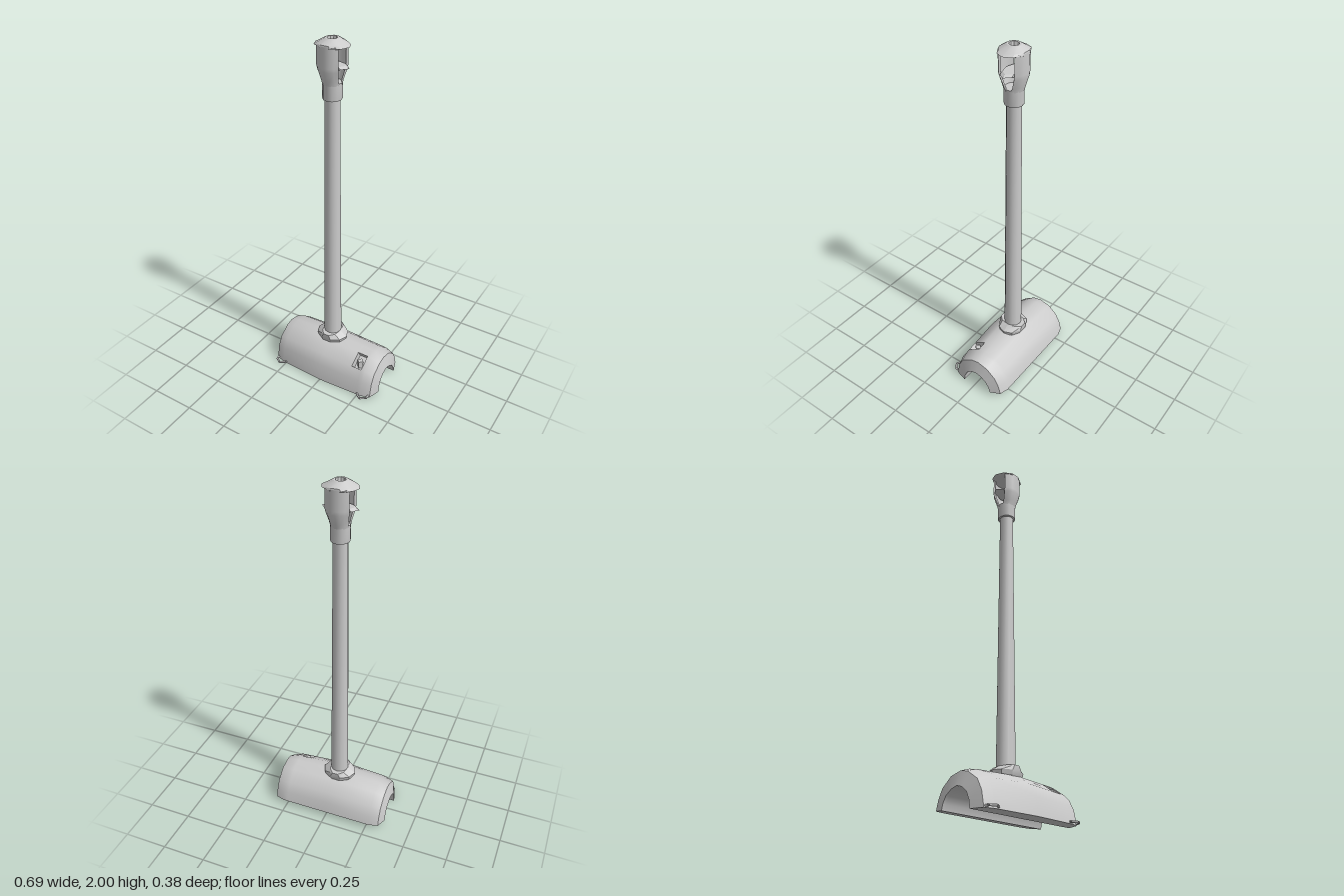
import * as THREE from 'three';
import { toCreasedNormals } from 'three/addons/utils/BufferGeometryUtils.js';

const material = new THREE.MeshStandardMaterial({ color: 0xcccccc, side: THREE.DoubleSide });
const V = (x, y, z) => new THREE.Vector3(x, y, z);

// Geometry from a list of triangles, dropping collapsed ones
function fromTriangles(tris, crease) {
  const pos = [];
  for (const [a, b, c] of tris) {
    const area = b.clone().sub(a).cross(c.clone().sub(a)).length();
    if (area > 1e-9) for (const p of [a, b, c]) pos.push(p.x, p.y, p.z);
  }
  const g = new THREE.BufferGeometry();
  g.setAttribute('position', new THREE.Float32BufferAttribute(pos, 3));
  return toCreasedNormals(g, crease);
}

// Skin closed cross-sections; skip(i, j, corners, addQuad) may replace a cell
function skin(rows, crease = 0.6, skip = null) {
  const tris = [];
  const quad = (a, b, c, d) => tris.push([a, b, c], [a, c, d]);
  for (let i = 0; i < rows.length - 1; i++) {
    const n = rows[i].length;
    for (let j = 0; j < n; j++) {
      const k = (j + 1) % n;
      const cell = [rows[i][j], rows[i][k], rows[i + 1][k], rows[i + 1][j]];
      if (!skip || !skip(i, j, cell, quad)) quad(...cell);
    }
  }
  return fromTriangles(tris, crease);
}

// Stacked ellipses from [y, radiusX, radiusZ], bottom to top
function stack(levels, sides, crease) {
  return skin(levels.map(([y, rx, rz]) => Array.from({ length: sides }, (_, j) => {
    const a = (j / sides) * Math.PI * 2;
    return V(rx * Math.cos(a), y, -rz * Math.sin(a));
  })), crease);
}

function add(parent, name, geometry) {
  const mesh = new THREE.Mesh(geometry, material);
  mesh.name = name;
  parent.add(mesh);
  return mesh;
}

// Arched saddle: outer and inner arch as [z, y], front to back
function saddleGeometry() {
  const outer = [[0.158, 0], [0.14, 0.09], [0.108, 0.148], [0.035, 0.196], [-0.015, 0.205],
    [-0.085, 0.188], [-0.148, 0.135], [-0.175, 0.08], [-0.19, 0.025]];
  const inner = [[0.074, 0], [0.068, 0.04], [0.05, 0.08], [0.02, 0.105], [-0.015, 0.115],
    [-0.05, 0.105], [-0.085, 0.08], [-0.105, 0.045], [-0.112, 0.015]];
  const stations = [[0.343, 0], [0.322, 0.8], [0.27, 1], [0.245, 1], [0.185, 1], [0, 1],
    [-0.27, 1], [-0.322, 0.8], [-0.343, 0]];
  const rows = stations.map(([x, t]) => {
    const bulge = Math.max(0, 1 - Math.abs(x) / 0.27);
    const out = outer.map(([z, y], i) => {
      const [iz, iy] = inner[i];
      const front = z > 0 ? 0.013 * bulge : 0;
      return V(x, iy + (y - iy) * t + (i % 8 ? 0.01 * bulge : 0), iz + (z - iz) * t + front);
    });
    return [...out, ...inner.map(([z, y]) => V(x, y, z)).reverse()];
  });
  // Small pit sunk into the front shoulder
  return skin(rows, 0.6, (i, j, cell, quad) => {
    if (i !== 3 || j !== 2) return false;
    const floor = cell.map((p) => p.clone().add(V(0, -0.04, -0.024)));
    cell.forEach((p, k) => quad(p, cell[(k + 1) % 4], floor[(k + 1) % 4], floor[k]));
    quad(...floor);
    return true;
  });
}

// Curved wall between the two side openings: [y, radiusX, radiusZ, half opening]
function wallGeometry() {
  const levels = [[1.775, 0.049, 0.051, 0.014], [1.8, 0.054, 0.058, 0.024],
    [1.85, 0.072, 0.073, 0.041], [1.87, 0.078, 0.074, 0.045], [1.972, 0.078, 0.074, 0.045]];
  const steps = 6;
  return skin(levels.map(([y, rx, rz, w]) => {
    const a0 = Math.asin(w / rz);
    const arc = (s) => Array.from({ length: steps + 1 }, (_, j) => {
      const a = a0 + (j / steps) * (Math.PI - 2 * a0);
      return V(rx * s * Math.cos(a), y, -rz * s * Math.sin(a));
    });
    return [...arc(1), ...arc(0.85).reverse()];
  }));
}

export function createModel() {
  const model = new THREE.Group();
  model.name = 'postOnSaddle';

  add(model, 'saddleBase', saddleGeometry());

  // Square pin standing in the pit
  const pin = add(model, 'pin', new THREE.CylinderGeometry(0.019, 0.019, 0.045, 4));
  pin.geometry = toCreasedNormals(pin.geometry, 0.5);
  pin.position.set(0.215, 0.15, 0.066);

  // Wire loops at the foot of the front
  const path = [[-0.032, 0.135], [-0.031, 0.163], [0, 0.184], [0.031, 0.163], [0.032, 0.135]];
  for (const [side, name] of [[1, 'leftLoop'], [-1, 'rightLoop']]) {
    const loop = new THREE.Group();
    loop.name = name;
    loop.position.set(0.281 * side, 0.009, 0);
    for (let i = 0; i < path.length - 1; i++) {
      const a = V(path[i][0], 0, path[i][1]);
      const b = V(path[i + 1][0], 0, path[i + 1][1]);
      add(loop, 'loopSegment', new THREE.TubeGeometry(new THREE.LineCurve3(a, b), 1, 0.006, 6));
    }
    model.add(loop);
  }

  // Everything on the post axis
  const post = new THREE.Group();
  post.name = 'post';
  post.position.set(-0.023, 0, -0.015);
  model.add(post);

  add(post, 'collar', stack([[0.18, 0, 0], [0.18, 0.05, 0.06], [0.205, 0.09, 0.073],
    [0.228, 0.094, 0.08], [0.254, 0.052, 0.08], [0.254, 0, 0]], 10, 0.3));
  add(post, 'pole', stack([[0.24, 0.05, 0.05], [1.71, 0.038, 0.038]], 12, 0.8));

  // Head: socket, two walls, sill and roof
  add(post, 'socket', stack([[1.698, 0, 0], [1.698, 0.048, 0.05], [1.705, 0.05, 0.051],
    [1.775, 0.049, 0.051], [1.785, 0.05, 0.053], [1.785, 0, 0]], 12, 0.6));
  for (const [turn, name] of [[0, 'backWall'], [Math.PI, 'frontWall']]) {
    add(post, name, wallGeometry()).rotation.y = turn;
  }
  add(post, 'sill', stack([[1.858, 0, 0], [1.858, 0.07, 0.046], [1.864, 0.094, 0.046],
    [1.874, 0.07, 0.046], [1.874, 0, 0]], 8, 0.3));
  add(post, 'roof', stack([[1.96, 0, 0], [1.96, 0.07, 0.07], [1.967, 0.094, 0.075],
    [1.978, 0.072, 0.073], [2, 0.035, 0.037], [2, 0.025, 0.026], [1.975, 0.021, 0.022],
    [1.975, 0, 0]], 10, 0.35));

  return model;
}
